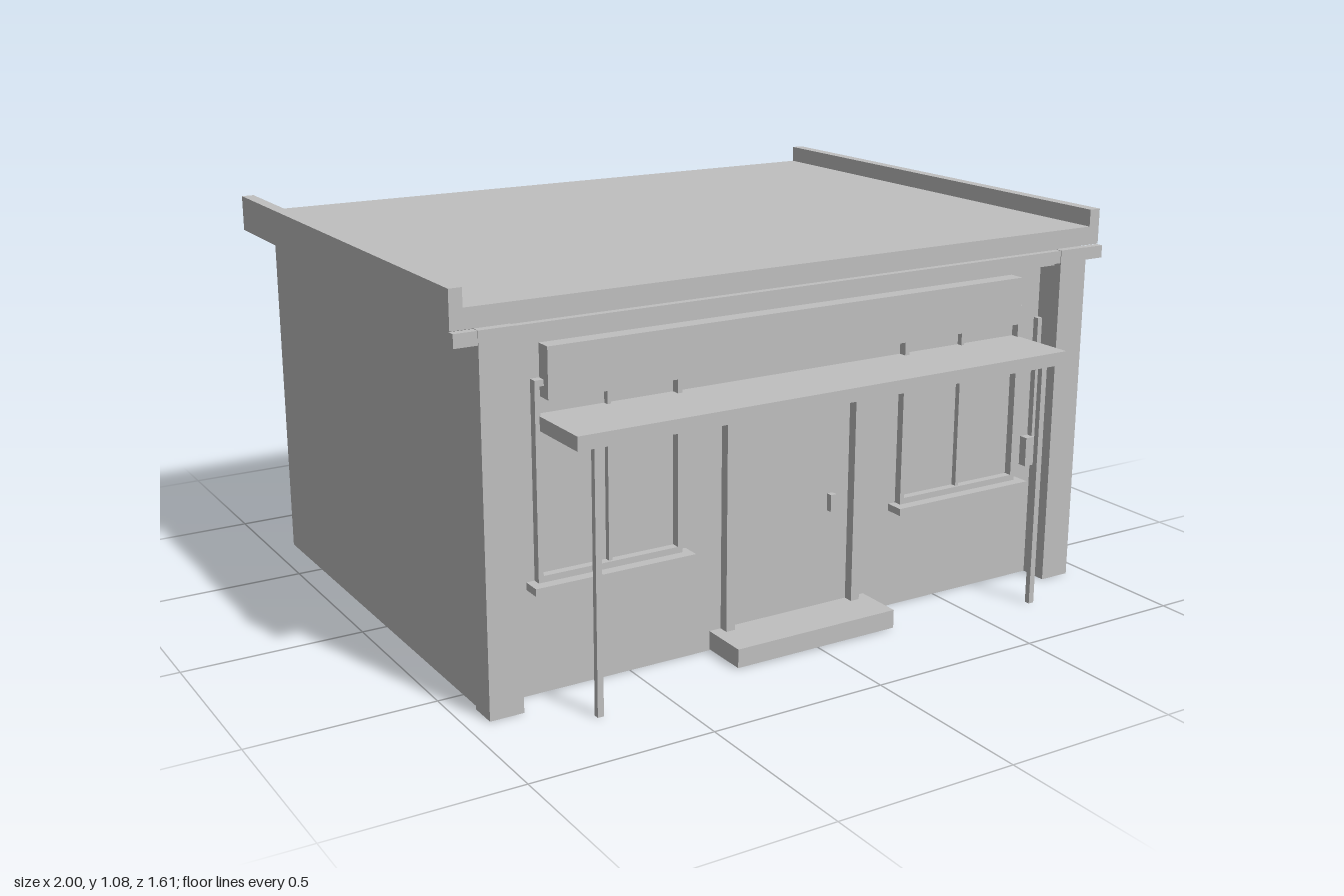
import * as THREE from 'three';

export function createModel() {
  const model = new THREE.Group();
  model.name = 'shop';
  const grey = new THREE.MeshStandardMaterial({ color: 0xbfbfbf });
  grey.name = 'plain grey';

  // Box given by its limits on each axis
  function box(name, x0, x1, y0, y1, z0, z1, parent = model) {
    const mesh = new THREE.Mesh(new THREE.BoxGeometry(x1 - x0, y1 - y0, z1 - z0), grey);
    mesh.position.set((x0 + x1) / 2, (y0 + y1) / 2, (z0 + z1) / 2);
    mesh.name = name;
    parent.add(mesh);
    return mesh;
  }

  const wall = 0.592; // front wall plane
  const front = 0.672; // pilaster and cornice plane

  // Main block and roof
  box('walls', -0.93, 0.93, 0, 0.98, -0.742, wall);
  box('roofSlab', -1, 1, 0.98, 1.032, -0.806, 0.652);
  box('cornice', -1, 1, 0.943, 0.978, 0.647, 0.67);
  box('corniceBeam', -0.845, 0.845, 0.933, 0.97, wall, 0.647);
  box('soffit', -0.845, 0.845, 0.97, 0.98, wall, 0.65);

  for (const s of [-1, 1]) {
    const span = (a, b) => (s > 0 ? [a, b] : [-b, -a]);
    box('roofRail', ...span(0.965, 1), 1.032, 1.08, -0.806, 0.652);
    box('pilaster', ...span(0.845, 0.938), 0, 0.979, wall, front);
    box('canopyPost', ...span(0.687, 0.704), 0, 0.696, 0.774, 0.79);
  }

  // Canopy and blank fascia board
  box('canopy', -0.757, 0.757, 0.695, 0.732, wall, 0.806);
  box('fasciaBoard', -0.744, 0.738, 0.775, 0.908, wall, 0.637);

  // Entrance
  box('doorStep', -0.257, 0.249, 0.003, 0.055, wall, 0.732);
  box('doorJamb', -0.222, -0.195, 0.055, 0.685, wall, 0.62);
  box('doorJamb', 0.187, 0.214, 0.055, 0.685, wall, 0.62);
  box('doorHandle', 0.118, 0.136, 0.325, 0.373, wall, 0.61);

  // Windows: jambs, rails, mullion and sill around the wall face
  for (const cx of [-0.562, 0.558]) {
    const w = new THREE.Group();
    w.name = 'window';
    w.position.x = cx;
    model.add(w);
    box('windowJamb', -0.207, -0.193, 0.305, 0.822, wall, 0.615, w);
    box('windowJamb', 0.193, 0.207, 0.305, 0.822, wall, 0.615, w);
    box('windowRail', -0.193, 0.193, 0.305, 0.322, wall, 0.615, w);
    box('windowRail', -0.193, 0.193, 0.806, 0.822, wall, 0.615, w);
    box('windowMullion', -0.005, 0.005, 0.322, 0.806, wall, 0.608, w);
    box('windowSill', -0.23, 0.23, 0.285, 0.305, wall, 0.645, w);
  }

  // Meter box and conduit beside the pilaster
  box('meterBox', 0.803, 0.845, 0.34, 0.425, wall, 0.618);
  box('conduit', 0.83, 0.845, 0.425, 0.775, wall, 0.61);

  return model;
}
